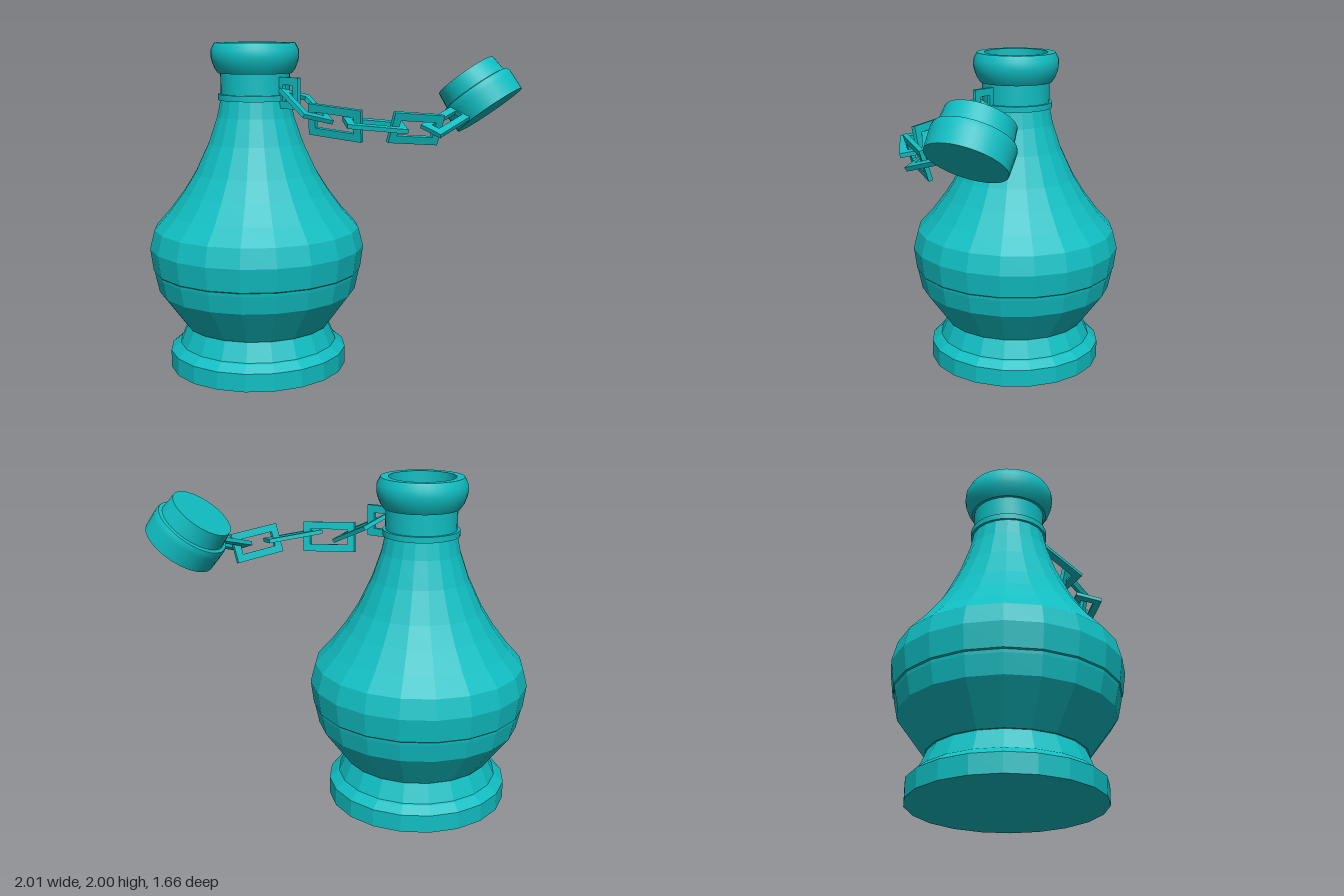
import * as THREE from 'three';
import { toCreasedNormals } from 'three/addons/utils/BufferGeometryUtils.js';

const COLOR = 0x10bec2;
const faceted = new THREE.MeshStandardMaterial({ color: COLOR, flatShading: true });
const smooth = new THREE.MeshStandardMaterial({ color: COLOR });

// Turned part from [radius, height] pairs listed bottom to top
function turned(name, profile, sides, isSmooth) {
  const points = profile.map(([r, y]) => new THREE.Vector2(r, y));
  let geometry = new THREE.LatheGeometry(points, sides);
  if (isSmooth) geometry = toCreasedNormals(geometry, 0.5);
  const mesh = new THREE.Mesh(geometry, isSmooth ? smooth : faceted);
  mesh.name = name;
  return mesh;
}

// Flat rectangular chain link; along and across give its outer length and width
function chainLink(name, center, along, across) {
  const l = new THREE.Vector3(...along);
  const w = new THREE.Vector3(...across);
  const length = l.length();
  const width = w.length();
  const bar = 0.045;
  const depth = 0.025;
  const rectangle = (a, b) => [[-a, -b], [a, -b], [a, b], [-a, b]].map(([x, y]) => new THREE.Vector2(x, y));
  const shape = new THREE.Shape(rectangle(length / 2, width / 2));
  shape.holes.push(new THREE.Path(rectangle(length / 2 - bar, width / 2 - bar)));
  const geometry = new THREE.ExtrudeGeometry(shape, { depth, bevelEnabled: false });
  geometry.translate(0, 0, -depth / 2);

  const x = l.normalize();
  const z = new THREE.Vector3().crossVectors(x, w).normalize();
  const y = new THREE.Vector3().crossVectors(z, x);
  const mesh = new THREE.Mesh(geometry, faceted);
  mesh.name = name;
  mesh.quaternion.setFromRotationMatrix(new THREE.Matrix4().makeBasis(x, y, z));
  mesh.position.set(...center);
  return mesh;
}

export function createModel() {
  const model = new THREE.Group();
  model.name = 'flaskWithChainedCap';

  const flask = new THREE.Group();
  flask.name = 'flask';
  flask.position.set(-0.335, 0, 0.17);
  model.add(flask);

  // Foot with a chamfered plinth
  flask.add(turned('foot', [
    [0, 0], [0.55, 0], [0.55, 0.11], [0.5, 0.15], [0.49, 0.155], [0.44, 0.27],
  ], 20, false));

  // Bowl, with a small step where it meets the upper body
  flask.add(turned('lowerBody', [
    [0.4, 0.27], [0.45, 0.27], [0.53, 0.38], [0.61, 0.49], [0.633, 0.6], [0.635, 0.62],
  ], 20, false));
  flask.add(turned('upperBody', [
    [0.625, 0.61], [0.642, 0.625], [0.66, 0.765], [0.63, 0.88], [0.54, 0.98], [0.45, 1.1],
    [0.375, 1.22], [0.29, 1.4], [0.235, 1.56], [0.212, 1.67],
  ], 20, false));

  // Neck, collar and hollow flared lip
  flask.add(turned('neckRing', [
    [0.2, 1.66], [0.227, 1.66], [0.227, 1.695], [0.2, 1.695],
  ], 32, true));
  flask.add(turned('neck', [[0.21, 1.66], [0.21, 1.83]], 32, true));
  flask.add(turned('lip', [
    [0.2, 1.82], [0.225, 1.82], [0.245, 1.85], [0.26, 1.89], [0.266, 1.92], [0.264, 1.96],
    [0.243, 2], [0.197, 2], [0.197, 1.9], [0, 1.9],
  ], 32, true));

  // Chain from the neck out to the cap: center, length vector, width vector
  const chain = new THREE.Group();
  chain.name = 'chain';
  [
    [[-0.06, 1.71, 0.172], [0.165, 0, 0], [0, 0.185, 0]],
    [[0.09, 1.645, 0.19], [0.28, -0.13, 0.1], [-0.05, 0.05, 0.2]],
    [[0.315, 1.565, 0.195], [0.34, -0.025, -0.05], [-0.015, -0.18, -0.03]],
    [[0.537, 1.56, 0.117], [0.22, -0.035, -0.26], [0.13, -0.03, 0.11]],
    [[0.68, 1.535, -0.07], [0.13, -0.03, -0.29], [-0.06, -0.17, 0]],
    [[0.755, 1.565, -0.27], [0.02, 0.09, -0.3], [0.13, -0.05, 0]],
  ].forEach(([center, along, across], i) => chain.add(chainLink('chainLink' + (i + 1), center, along, across)));
  model.add(chain);

  // Cap: narrow plug end, then the wider collar and closed end
  const cap = turned('cap', [
    [0, 0], [0.19, 0], [0.2, 0.1], [0.22, 0.105], [0.226, 0.125], [0.226, 0.15], [0.222, 0.25], [0, 0.25],
  ], 32, true);
  const axis = new THREE.Vector3(0.58, -0.8, -0.17).normalize();
  cap.quaternion.setFromUnitVectors(new THREE.Vector3(0, 1, 0), axis);
  cap.position.set(0.685, 1.81, -0.568);
  model.add(cap);

  return model;
}
